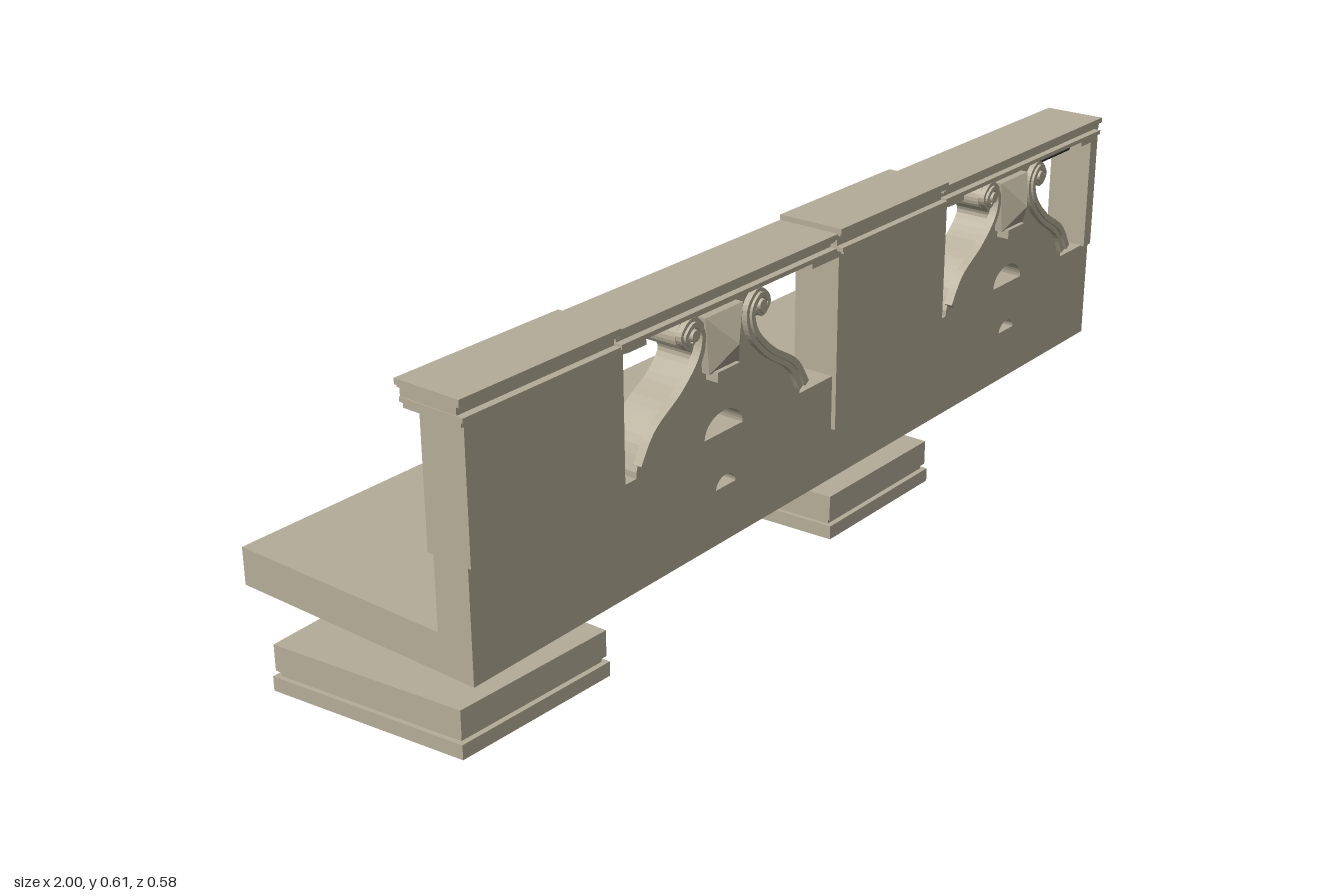
import * as THREE from 'three';

export function createModel() {
  const root = new THREE.Group();
  const stone = new THREE.MeshStandardMaterial({ color: 0xb5ad99 });
  stone.name = 'stone';
  const iron = new THREE.MeshStandardMaterial({ color: 0x3c3b38 });
  iron.name = 'dark iron';

  const add = (name, geo, mat = stone, parent = root) => {
    const m = new THREE.Mesh(geo, mat);
    m.name = name;
    parent.add(m);
    return m;
  };
  // Box from its limits on each axis
  const box = (name, x0, x1, y0, y1, z0, z1) => {
    const g = new THREE.BoxGeometry(x1 - x0, y1 - y0, z1 - z0);
    g.translate((x0 + x1) / 2, (y0 + y1) / 2, (z0 + z1) / 2);
    return add(name, g);
  };
  // Shape in the xy plane, extruded from z0 to z1
  const slab = (shape, z0, z1) => {
    const g = new THREE.ExtrudeGeometry(shape, { depth: z1 - z0, bevelEnabled: false, curveSegments: 10 });
    g.translate(0, 0, z0);
    return g;
  };
  const v2 = (list) => list.map(([x, y]) => new THREE.Vector2(x, y));
  const bays = [-0.292, 0.632];

  // Floor
  box('floorSlab', -0.897, 0.972, 0.11, 0.18, -0.288, 0.237);

  // Low wall rising into a bell in each bay, pierced by half-round holes
  const half = new THREE.SplineCurve(v2([
    [-0.222, 0.325], [-0.2, 0.372], [-0.16, 0.412], [-0.11, 0.442],
    [-0.08, 0.475], [-0.088, 0.496], [-0.115, 0.507], [-0.119, 0.53], [-0.1, 0.556],
  ])).getPoints(28);
  const outline = [[-0.897, 0.18], [-0.897, 0.314]];
  bays.forEach((cx) => {
    outline.push([cx - 0.222, 0.314]);
    half.forEach((p) => outline.push([cx + p.x, p.y]));
    [...half].reverse().forEach((p) => outline.push([cx - p.x, p.y]));
    outline.push([cx + 0.222, 0.314]);
  });
  outline.push([0.972, 0.314], [0.972, 0.18]);
  const wall = new THREE.Shape(v2(outline));
  const halfRound = (cx, y, rx, ry) => {
    const h = new THREE.Path();
    h.absellipse(cx, y, rx, ry, 0, Math.PI, false);
    h.closePath();
    wall.holes.push(h);
  };
  bays.forEach((cx) => {
    halfRound(cx + 0.006, 0.317, 0.052, 0.039);
    halfRound(cx + 0.012, 0.214, 0.027, 0.021);
  });
  add('piercedWall', slab(wall, 0.165, 0.237));

  // Piers and end post
  box('leftPier', -0.897, -0.548, 0.312, 0.577, 0.153, 0.243);
  box('middlePier', 0.03, 0.382, 0.312, 0.577, 0.153, 0.246);
  box('middlePierApron', 0.03, 0.382, 0.21, 0.312, 0.237, 0.246);
  box('endPost', 0.944, 0.972, 0.312, 0.577, 0.153, 0.243);

  // Cornice: stacked courses, slightly higher over the piers
  const cornice = (name, x0, x1, dy, out) => {
    box(name + 'Fascia', x0 + 0.01, x1, 0.563, 0.586 + dy, 0.139, 0.25 + out);
    box(name + 'Step', x0 + 0.005, x1, 0.584 + dy, 0.592 + dy, 0.139, 0.26 + out);
    box(name + 'Top', x0, x1, 0.59 + dy, 0.6 + dy, 0.139, 0.266 + out);
    box(name + 'LowerBand', x0 + 0.008, x1, 0.562, 0.57, 0.139, 0.264 + out);
  };
  cornice('leftCap', -0.93, -0.58, 0.002, 0.003);
  cornice('leftRail', -0.58, 0, -0.003, -0.002);
  cornice('middleCap', 0, 0.345, 0.007, 0.005);
  cornice('rightRail', 0.345, 0.945, -0.003, -0.002);
  box('leftCapBand', -0.915, -0.548, 0.55, 0.563, 0.139, 0.256);
  box('middleCapBand', 0.03, 0.382, 0.55, 0.563, 0.139, 0.256);
  [[-0.548, -0.5], [-0.055, 0.03], [0.382, 0.435], [0.89, 0.944]].forEach(([a, b]) =>
    box('railBracket', a, b, 0.545, 0.565, 0.153, 0.25));
  bays.forEach((cx) => box('lintel', cx - 0.256, cx + 0.312, 0.553, 0.565, 0.153, 0.243));

  // Scroll ribbon: a curve offset to both sides, ending in a volute
  const scrollCurve = new THREE.SplineCurve(v2([
    [-0.218, 0.335], [-0.185, 0.385], [-0.12, 0.428], [-0.074, 0.475], [-0.063, 0.52],
    [-0.088, 0.546], [-0.113, 0.527], [-0.098, 0.506], [-0.084, 0.52],
  ]));
  const ribbon = (side, inner, outer) => {
    const n = 44, a = [], b = [];
    for (let i = 0; i <= n; i++) {
      const t = i / n;
      const p = scrollCurve.getPoint(t), d = scrollCurve.getTangent(t);
      const w = 0.012 - 0.007 * t;
      a.push(new THREE.Vector2(side * (p.x - d.y * w * outer), p.y + d.x * w * outer));
      b.push(new THREE.Vector2(side * (p.x + d.y * w * inner), p.y - d.x * w * inner));
    }
    return new THREE.Shape([...a, ...b.reverse()]);
  };

  // Square pyramid with its own top and bottom widths
  const keystoneFacets = () => {
    const q = [[-0.05, 0.545], [0.05, 0.545], [0.04, 0.443], [-0.04, 0.443]];
    const pos = [];
    q.forEach((p, i) => {
      const r = q[(i + 1) % 4];
      pos.push(...r, 0.252, ...p, 0.252, 0, 0.492, 0.283);
    });
    const g = new THREE.BufferGeometry();
    g.setAttribute('position', new THREE.Float32BufferAttribute(pos, 3));
    g.computeVertexNormals();
    return g;
  };

  bays.forEach((cx) => {
    const carving = new THREE.Group();
    carving.name = 'scrollCarving';
    carving.position.x = cx;
    root.add(carving);
    [-1, 1].forEach((s) => {
      add('scroll', slab(ribbon(-s, 1, 1), 0.236, 0.248), stone, carving);
      add('scrollRidge', slab(ribbon(-s, 0.1, 1), 0.247, 0.253), stone, carving);
      const eye = new THREE.CylinderGeometry(0.01, 0.013, 0.02, 12);
      eye.rotateX(Math.PI / 2);
      eye.translate(s * 0.09, 0.524, 0.246);
      add('voluteEye', eye, stone, carving);
    });
    const block = new THREE.Shape(v2([[-0.05, 0.545], [-0.04, 0.443], [0.04, 0.443], [0.05, 0.545]]));
    const key = new THREE.Group();
    key.name = 'keystone';
    key.position.x = -0.012;
    carving.add(key);
    add('keystoneBlock', slab(block, 0.23, 0.252), stone, key);
    add('keystonePoint', keystoneFacets(), stone, key);
    const foot = new THREE.BoxGeometry(0.06, 0.018, 0.03);
    foot.translate(0, 0.437, 0.247);
    add('keystoneFoot', foot, stone, key);
  });

  // Rods through the bays
  [[-0.506, 0.034, 0.526], [0.434, 1, 0.521]].forEach(([a, b, y]) => {
    const g = new THREE.CylinderGeometry(0.0078, 0.0078, b - a, 12);
    g.rotateZ(Math.PI / 2);
    g.translate((a + b) / 2, y, 0.188);
    add('rod', g, iron);
  });

  // Stepped bases on nine round feet
  const plinth = (name, corners, feetX) => {
    const mid = corners.reduce((m, c) => [m[0] + c[0] / 4, m[1] + c[1] / 4], [0, 0]);
    const layer = (label, y0, y1, k) => {
      const pts = corners.map(([x, z]) => [mid[0] + (x - mid[0]) * k, -(mid[1] + (z - mid[1]) * k)]);
      const g = slab(new THREE.Shape(v2(pts)), y0, y1);
      g.rotateX(-Math.PI / 2);
      add(name + label, g);
    };
    layer('UpperPlate', 0.062, 0.109, 1);
    layer('Joint', 0.05, 0.064, 0.97);
    layer('LowerPlate', 0.026, 0.052, 1.02);
    const profile = v2([[0, 0], [0.034, 0], [0.041, 0.007], [0.044, 0.027]]);
    feetX.forEach((x) => [0.168, 0.053, -0.063].forEach((z) => {
      const f = add(name + 'Foot', new THREE.LatheGeometry(profile, 16));
      f.position.set(x, 0, z);
    }));
  };
  plinth('leftBase', [[-0.997, -0.102], [-0.955, 0.265], [-0.642, 0.278], [-0.65, -0.118]], [-0.9, -0.8, -0.7]);
  plinth('middleBase', [[-0.055, -0.118], [-0.03, 0.28], [0.28, 0.283], [0.28, -0.122]], [0.045, 0.14, 0.235]);

  return root;
}
